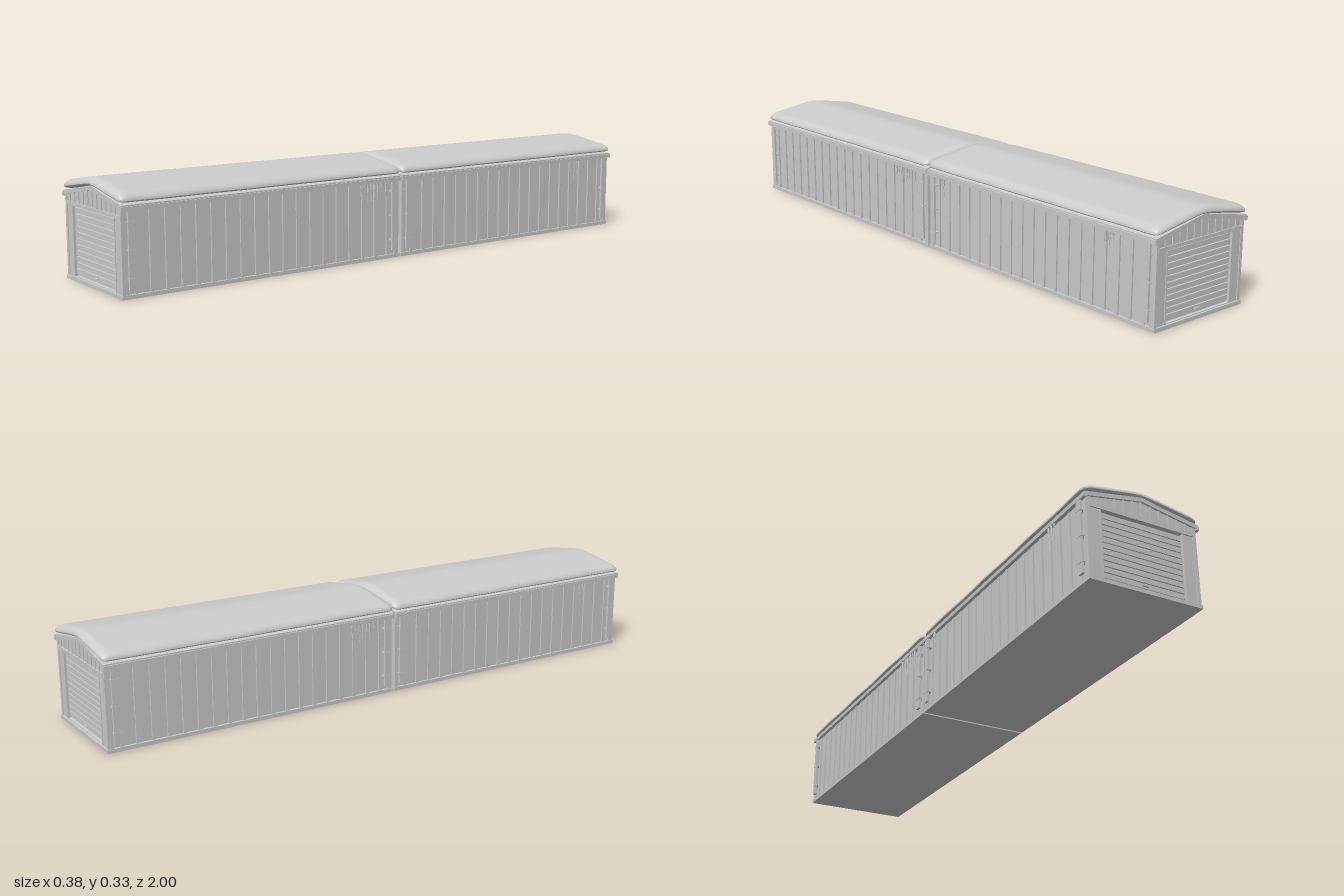
import * as THREE from 'three';

const grey = new THREE.MeshStandardMaterial({ color: 0xcccccc });

function add(parent, name, geometry) {
  const mesh = new THREE.Mesh(geometry, grey);
  mesh.name = name;
  parent.add(mesh);
  return mesh;
}

// Box given by its min and max on each axis
function box(parent, name, x0, x1, y0, y1, z0, z1) {
  const m = add(parent, name, new THREE.BoxGeometry(x1 - x0, y1 - y0, z1 - z0));
  m.position.set((x0 + x1) / 2, (y0 + y1) / 2, (z0 + z1) / 2);
  return m;
}

// Prism along z from a list of [x, y] corners, with an optional hole
function prism(parent, name, points, z0, z1, hole) {
  const shape = new THREE.Shape(points.map(p => new THREE.Vector2(...p)));
  if (hole) shape.holes.push(new THREE.Path(hole.map(p => new THREE.Vector2(...p))));
  const m = add(parent, name, new THREE.ExtrudeGeometry(shape, { depth: z1 - z0, bevelEnabled: false }));
  m.position.z = z0;
  return m;
}

// Soft snow blanket: a cushion following the roof pitch, rounded at every border
function snowGeometry() {
  const W = 0.19, R = 0.03, Z0 = 0.002, Z1 = 1.0;
  const steps = (half, inner) => {
    const list = [];
    for (let i = 0; i <= 8; i++) list.push(-half + R * (1 - Math.cos(i / 8 * Math.PI / 2)));
    for (let i = 1; i < inner; i++) list.push(-half + R + (2 * half - 2 * R) * i / inner);
    for (let i = 8; i >= 0; i--) list.push(half - R * (1 - Math.cos(i / 8 * Math.PI / 2)));
    return list;
  };
  const round = (v, half) => {
    const t = Math.max(0, 1 - (half - Math.abs(v)) / R);
    return Math.sqrt(Math.max(0, 1 - t * t));
  };
  const xs = steps(W, 16), half = (Z1 - Z0) / 2, zs = steps(half, 40);
  const pos = [], idx = [], n = xs.length, count = n * zs.length;
  for (const side of [1, -1]) {
    for (const z of zs) for (const x of xs) {
      const hx = round(x, W), hz = round(z, half);
      const px = x * (1 - 0.05 * (1 - hz) * (1 - hx)) + 0.0012 * Math.sin(z * 23) * (x / W) ** 8;
      const pz = z * (1 - 0.02 * (1 - hz) * (1 - hx));
      const mid = 0.308 - 0.17 * (Math.sqrt(x * x + 0.0004) - 0.02);
      const thick = side > 0 ? 0.019 : -0.009;
      pos.push(px, mid + thick * hx * hz, pz + (Z0 + Z1) / 2);
    }
  }
  for (let j = 0; j < zs.length - 1; j++) for (let i = 0; i < n - 1; i++) {
    const a = j * n + i, b = a + 1, c = a + n, d = c + 1;
    idx.push(a, c, b, b, c, d);
    idx.push(a + count, b + count, c + count, b + count, d + count, c + count);
  }
  const g = new THREE.BufferGeometry();
  g.setAttribute('position', new THREE.Float32BufferAttribute(pos, 3));
  g.setIndex(idx);
  g.computeVertexNormals();
  return g;
}

// One garage: door at z = 1, rear wall near z = 0
function createGarage() {
  const g = new THREE.Group();
  g.name = 'garage';
  const roofY = x => 0.295 - 0.1875 * Math.abs(x);
  const gable = [[-0.175, 0], [0.175, 0], [0.175, 0.262], [0, 0.295], [-0.175, 0.262]];

  // Shell, front wall with door opening, floor slab
  prism(g, 'shell', gable, 0.01, 0.98);
  prism(g, 'frontWall', gable, 0.98, 0.991, [[-0.134, 0.014], [-0.134, 0.227], [0.134, 0.227], [0.134, 0.014]]);
  box(g, 'floorSlab', -0.183, 0.183, 0, 0.012, 0.004, 0.997);

  // Pitched roof deck with visible end fascia
  prism(g, 'roofDeck', [[-0.188, 0.255], [0, 0.290], [0.188, 0.255], [0.188, 0.268], [0, 0.303], [-0.188, 0.268]], 0.004, 0.997);

  // Roller door slats and handle
  for (let i = 0; i < 11; i++) {
    const y = 0.021 + i * 0.0185;
    box(g, 'doorSlat', -0.133, 0.133, y, y + 0.0155, 0.979, 0.986);
  }
  box(g, 'doorHandle', -0.01, 0.01, 0.026, 0.03, 0.985, 0.991);

  // Lintel bar and gable battens
  box(g, 'lintel', -0.175, 0.175, 0.227, 0.238, 0.99, 0.995);
  for (let i = -5; i <= 5; i++) {
    const x = i * 0.0294;
    box(g, 'gableBatten', x - 0.0018, x + 0.0018, 0.238, roofY(x) - 0.002, 0.99, 0.994);
  }

  for (const s of [-1, 1]) {
    const sideBox = (name, x0, x1, ...rest) =>
      box(g, name, Math.min(s * x0, s * x1), Math.max(s * x0, s * x1), ...rest);

    // Corner posts and door jambs
    sideBox('cornerPost', 0.17, 0.181, 0.01, 0.262, 0.975, 0.994);
    sideBox('cornerPost', 0.17, 0.181, 0.01, 0.262, 0.007, 0.022);
    sideBox('doorJamb', 0.134, 0.139, 0.012, 0.227, 0.985, 0.993);

    // Ribbed side wall
    for (let i = 0; i < 19; i++) {
      const z = 0.05 + i * 0.05;
      sideBox('wallRib', 0.174, 0.18, 0.012, 0.258, z - 0.006, z + 0.006);
    }

    // Gutter, downpipes and their brackets
    sideBox('gutter', 0.182, 0.192, 0.251, 0.264, 0.003, 0.998);
    for (const z of [0.03, 0.967]) {
      sideBox('downpipe', 0.184, 0.191, 0.025, 0.255, z - 0.01, z + 0.01);
      for (const y of [0.06, 0.14, 0.22])
        sideBox('pipeBracket', 0.174, 0.192, y - 0.002, y + 0.002, z - 0.012, z + 0.012);
    }
  }

  // Icicles hanging from the gutters: [side, z, length]
  const icicles = [
    [1, 0.165, 0.06], [1, 0.152, 0.035], [1, 0.138, 0.07], [1, 0.125, 0.085], [1, 0.11, 0.05],
    [1, 0.098, 0.07], [1, 0.083, 0.04], [1, 0.065, 0.08],
    [-1, 0.088, 0.08], [-1, 0.078, 0.03], [-1, 0.81, 0.08], [-1, 0.825, 0.06], [-1, 0.84, 0.03],
  ];
  for (const [s, z, len] of icicles) {
    const c = add(g, 'icicle', new THREE.ConeGeometry(0.004, len, 8));
    c.rotation.x = Math.PI;
    c.position.set(s * 0.188, 0.256 - len / 2, z);
  }

  add(g, 'snowBlanket', snowGeometry());
  return g;
}

export function createModel() {
  const model = new THREE.Group();
  model.name = 'garages';
  // Two garages back to back
  for (let i = 0; i < 2; i++) {
    const garage = createGarage();
    garage.rotation.y = i * Math.PI;
    model.add(garage);
  }
  return model;
}
